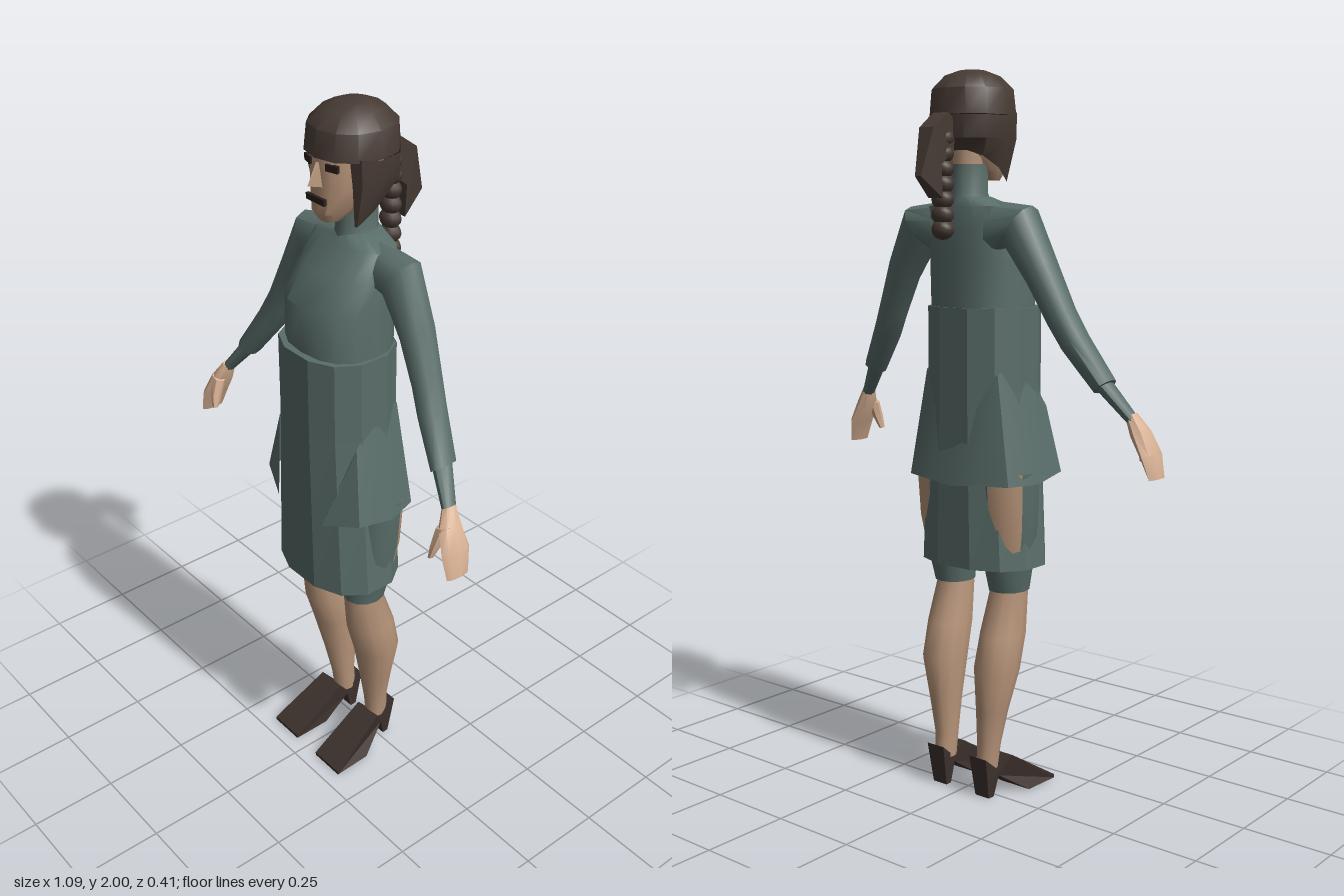
import * as THREE from 'three';
import { toCreasedNormals } from 'three/addons/utils/BufferGeometryUtils.js';

const paint = (name, color, side = THREE.FrontSide) => {
  const m = new THREE.MeshStandardMaterial({ color, side });
  m.name = name;
  return m;
};

// Surface through rows of points; crease = 0 gives flat facets
function skinRows(rows, crease = 0.7) {
  const pos = [];
  for (let i = 0; i < rows.length - 1; i++) {
    for (let j = 0; j < rows[i].length - 1; j++) {
      const a = rows[i][j], b = rows[i][j + 1], c = rows[i + 1][j], d = rows[i + 1][j + 1];
      pos.push(...a, ...c, ...b, ...b, ...c, ...d);
    }
  }
  const g = new THREE.BufferGeometry();
  g.setAttribute('position', new THREE.Float32BufferAttribute(pos, 3));
  g.computeVertexNormals();
  return crease ? toCreasedNormals(g, crease) : g;
}

const pw = (v, n) => Math.sign(v) * Math.abs(v) ** (2 / n);

// Horizontal rings, bottom to top: [y, centreX, halfWidth, frontZ, backZ]
function loft(rings, { sides = 12, n = 2, from = 0, to = 360, caps = true, crease = 0.7 } = {}) {
  const rows = rings.map(([y, cx, rx, zf, zb]) => Array.from({ length: sides + 1 }, (_, j) => {
    const t = THREE.MathUtils.degToRad(from + (to - from) * j / sides);
    return [cx + rx * pw(Math.cos(t), n), y, (zf + zb) / 2 + (zf - zb) / 2 * pw(Math.sin(t), n)];
  }));
  if (caps) {
    const centre = ([y, cx, , zf, zb]) => Array(sides + 1).fill([cx, y, (zf + zb) / 2]);
    rows.unshift(centre(rings[0]));
    rows.push(centre(rings[rings.length - 1]));
  }
  return skinRows(rows, crease);
}

// Limb rings, shoulder to hand: [outerX, outerY, innerX, innerY, z, halfDepth]
function limb(rings, sides = 10) {
  const rows = rings.map(([ox, oy, ix, iy, z, rz]) => Array.from({ length: sides + 1 }, (_, j) => {
    const t = -j / sides * Math.PI * 2, k = (1 + Math.cos(t)) / 2;
    return [ix + (ox - ix) * k, iy + (oy - iy) * k, z + rz * Math.sin(t)];
  }));
  const centre = ([ox, oy, ix, iy, z]) => Array(sides + 1).fill([(ox + ix) / 2, (oy + iy) / 2, z]);
  return skinRows([centre(rings[0]), ...rows, centre(rings[rings.length - 1])]);
}

// Side outline in (z, y), extruded across x
function sideExtrude(points, width) {
  const g = new THREE.ExtrudeGeometry(new THREE.Shape(points.map(p => new THREE.Vector2(...p))),
    { depth: width, bevelEnabled: false });
  g.rotateY(-Math.PI / 2).translate(width / 2, 0, 0);
  g.deleteAttribute('uv');
  g.clearGroups();
  return g;
}

function moveVertices(g, rule) {
  const p = g.attributes.position;
  for (let i = 0; i < p.count; i++) p.setXYZ(i, ...rule(p.getX(i), p.getY(i), p.getZ(i)));
  g.computeVertexNormals();
  return g;
}

// Mirror in x, turning each triangle round
function mirrored(src) {
  const g = src.clone().scale(-1, 1, 1);
  for (const { array } of Object.values(g.attributes)) {
    for (let i = 0; i < array.length; i += 9) {
      for (let k = 3; k < 6; k++) [array[i + k], array[i + k + 3]] = [array[i + k + 3], array[i + k]];
    }
  }
  return g;
}

export function createModel() {
  const group = new THREE.Group();
  const cloth = paint('clothGreen', 0x5a6e6a);
  const clothOpen = paint('clothGreenOpen', 0x5a6e6a, THREE.DoubleSide);
  const skin = paint('skin', 0xb8957a);
  const handSkin = paint('handSkin', 0xdab395);
  const hair = paint('hairBrown', 0x473b34, THREE.DoubleSide);
  const shoe = paint('shoeBrown', 0x3d322e);
  const dark = paint('darkFeature', 0x2a1f1c);

  const add = (name, geo, mat) => {
    const m = new THREE.Mesh(geo, mat);
    m.name = name;
    group.add(m);
    return m;
  };
  const pair = (name, geo, mat) => {
    add(name + 'Left', geo, mat);
    add(name + 'Right', mirrored(geo), mat);
  };

  // Upper body and high collar
  add('torso', loft([
    [1.36, 0, 0.145, 0.188, -0.06], [1.5, 0, 0.145, 0.188, -0.065], [1.58, 0, 0.14, 0.13, -0.065],
    [1.645, 0, 0.13, 0.075, -0.06], [1.67, 0, 0.055, 0.06, -0.055],
  ], { n: 2.4, sides: 16 }), cloth);
  add('collar', loft([[1.64, 0, 0.06, 0.068, -0.06], [1.68, 0, 0.045, 0.064, -0.056],
    [1.755, 0, 0.045, 0.062, -0.055]]), cloth);
  add('neck', loft([[1.74, 0, 0.04, 0.05, -0.045], [1.82, 0, 0.045, 0.05, -0.05]]), skin);

  // Straight dress with faceted panels, open at the hem
  add('dress', loft([[0.66, 0, 0.187, 0.21, -0.07], [0.92, 0, 0.17, 0.21, -0.07],
    [1.15, 0, 0.158, 0.21, -0.07], [1.375, 0, 0.158, 0.21, -0.07]],
  { n: 2.3, from: 15, to: 375, caps: false, crease: 0 }), clothOpen);
  add('dressTop', loft([[1.372, 0, 0.157, 0.208, -0.068], [1.375, 0, 0.157, 0.208, -0.068]],
    { n: 2.3, from: 15, to: 375, crease: 0 }), cloth);

  // Flared jacket skirt: hem and waist from the front tip round to the back
  const hem = [[0.095, 0.89, 0.205], [0.2, 0.92, 0.16], [0.205, 0.9, 0.05], [0.175, 0.9, -0.045],
    [0.09, 0.9, -0.075], [0, 0.89, -0.08]];
  const waist = [[0.155, 1.1, 0.15], [0.152, 1.13, 0.13], [0.145, 1.22, 0.06], [0.125, 1.2, -0.03],
    [0.07, 1.15, -0.05], [0, 1.15, -0.045]];
  const aroundBack = row => [...row, ...row.slice(0, -1).reverse().map(([x, y, z]) => [-x, y, z])].reverse();
  add('jacketSkirt', skinRows([aroundBack(hem), aroundBack(waist)], 0.6), clothOpen);

  // Sleeves, cuffs and hands
  pair('sleeve', limb([
    [0.08, 1.66, 0.08, 1.5, 0.005, 0.055], [0.212, 1.645, 0.135, 1.535, 0.005, 0.058],
    [0.28, 1.5, 0.205, 1.44, 0.01, 0.05], [0.33, 1.385, 0.262, 1.335, 0.022, 0.043],
    [0.365, 1.315, 0.3, 1.27, 0.035, 0.042], [0.432, 1.2, 0.385, 1.162, 0.062, 0.038],
  ]), cloth);
  pair('cuff', limb([[0.42, 1.2, 0.385, 1.175, 0.062, 0.03], [0.488, 1.1, 0.462, 1.085, 0.098, 0.02]]), cloth);
  pair('hand', limb([
    [0.482, 1.115, 0.455, 1.1, 0.097, 0.02], [0.512, 1.07, 0.468, 1.05, 0.11, 0.036],
    [0.538, 1.01, 0.5, 1.0, 0.115, 0.046], [0.546, 0.945, 0.524, 0.942, 0.12, 0.036],
  ], 8), handSkin);
  pair('thumb', limb([[0.505, 1.075, 0.462, 1.06, 0.125, 0.02], [0.492, 1.02, 0.464, 1.015, 0.142, 0.018],
    [0.477, 0.98, 0.464, 0.98, 0.152, 0.01]], 6), handSkin);

  // Legs, with leggings that leave a bare strip at the outer back
  pair('leg', loft([
    [0.08, 0.076, 0.028, 0.025, -0.045], [0.15, 0.078, 0.033, 0.032, -0.04], [0.25, 0.085, 0.044, 0.052, -0.05],
    [0.37, 0.095, 0.063, 0.078, -0.06], [0.47, 0.097, 0.06, 0.108, -0.04], [0.58, 0.097, 0.052, 0.118, 0],
    [0.66, 0.1, 0.052, 0.115, 0],
  ]), skin);
  const thigh = [[0.66, 0.1, 0.068, 0.125, -0.02], [0.78, 0.104, 0.085, 0.13, -0.04], [0.93, 0.104, 0.092, 0.13, -0.05]];
  pair('leggingHem', loft([[0.59, 0.098, 0.056, 0.12, -0.003], thigh[0]], { caps: false }), clothOpen);
  pair('legging', loft(thigh, { from: -25, to: 270, caps: false }), clothOpen);
  pair('bareThigh', loft(thigh, { from: -90, to: -25, sides: 4, caps: false }), skin);

  // Heeled shoes, wide at the toe and narrow at the heel
  const shoeGeo = sideExtrude([[0.205, 0], [0.205, 0.01], [0.035, 0.115], [0, 0.075], [-0.055, 0.12],
    [-0.035, 0], [-0.015, 0], [0, 0.06], [0.09, 0]], 2);
  moveVertices(shoeGeo, (x, y, z) => {
    const k = THREE.MathUtils.clamp((z + 0.02) / 0.12, 0, 1);
    return [0.078 + 0.022 * k + x * (0.024 + 0.03 * k + 0.1 * Math.max(0, y - 0.06)), y, z];
  });
  pair('shoe', shoeGeo, shoe);

  // Head and face
  add('head', loft([
    [1.715, 0, 0.028, 0.115, 0.06], [1.74, 0, 0.045, 0.132, 0.01], [1.8, 0, 0.068, 0.127, -0.04],
    [1.88, 0, 0.079, 0.126, -0.07], [1.93, 0, 0.075, 0.115, -0.07],
  ], { n: 2.5 }), skin);
  add('nose', skinRows([
    [[-0.018, 1.808, 0.118], [0, 1.815, 0.157], [0.018, 1.808, 0.118]].reverse(),
    [[-0.007, 1.87, 0.12], [0, 1.87, 0.13], [0.007, 1.87, 0.12]].reverse(),
  ], 0), skin);
  add('mouth', new THREE.BoxGeometry(0.07, 0.016, 0.009), dark).position.set(0, 1.776, 0.131);
  for (const s of [1, -1]) {
    const eye = add(s > 0 ? 'eyeLeft' : 'eyeRight', new THREE.BoxGeometry(0.036, 0.018, 0.009), dark);
    eye.position.set(s * 0.045, 1.863, 0.116);
    eye.rotation.y = s * 0.25;
  }

  // Hair: crown with fringe, then sides and back with two pointed front locks
  add('hairCrown', loft([
    [1.882, 0, 0.113, 0.135, -0.1], [1.95, 0, 0.106, 0.128, -0.096],
    [1.985, 0, 0.072, 0.092, -0.062], [2, 0, 0.035, 0.05, -0.02],
  ], { n: 2.2 }), hair);
  const hairTop = [[0.072, 1.89, 0.085], [0.105, 1.89, 0.075], [0.113, 1.88, 0.02], [0.1, 1.88, -0.05],
    [0.055, 1.88, -0.09], [0, 1.88, -0.1]];
  const hairEnd = [[0.072, 1.71, 0.07], [0.078, 1.71, 0.066], [0.088, 1.745, 0.02], [0.075, 1.775, -0.03],
    [0.04, 1.79, -0.056], [0, 1.79, -0.062]];
  const hairMid = hairTop.map(([x, , z], i) => [i ? x : 0.08, 1.82, z * 0.97]);
  add('hairSides', skinRows([hairEnd, hairMid, hairTop].map(aroundBack), 0.8), hair);

  // Ponytail with a beaded braid under it
  const tail = sideExtrude([[-0.085, 1.87], [-0.115, 1.885], [-0.17, 1.845], [-0.205, 1.72], [-0.135, 1.665],
    [-0.14, 1.75], [-0.09, 1.79]], 0.05);
  add('ponytail', moveVertices(tail, (x, y, z) => [x * (z < -0.2 ? 0.4 : 1), y, z]), hair);
  for (let i = 0; i < 7; i++) {
    const bead = add('braidBead' + (i + 1), new THREE.SphereGeometry(0.027, 10, 8), hair);
    bead.position.set(0, 1.82 - i * 0.0395, -0.107);
    bead.scale.set(1.2, 1, 1);
  }
  return group;
}
